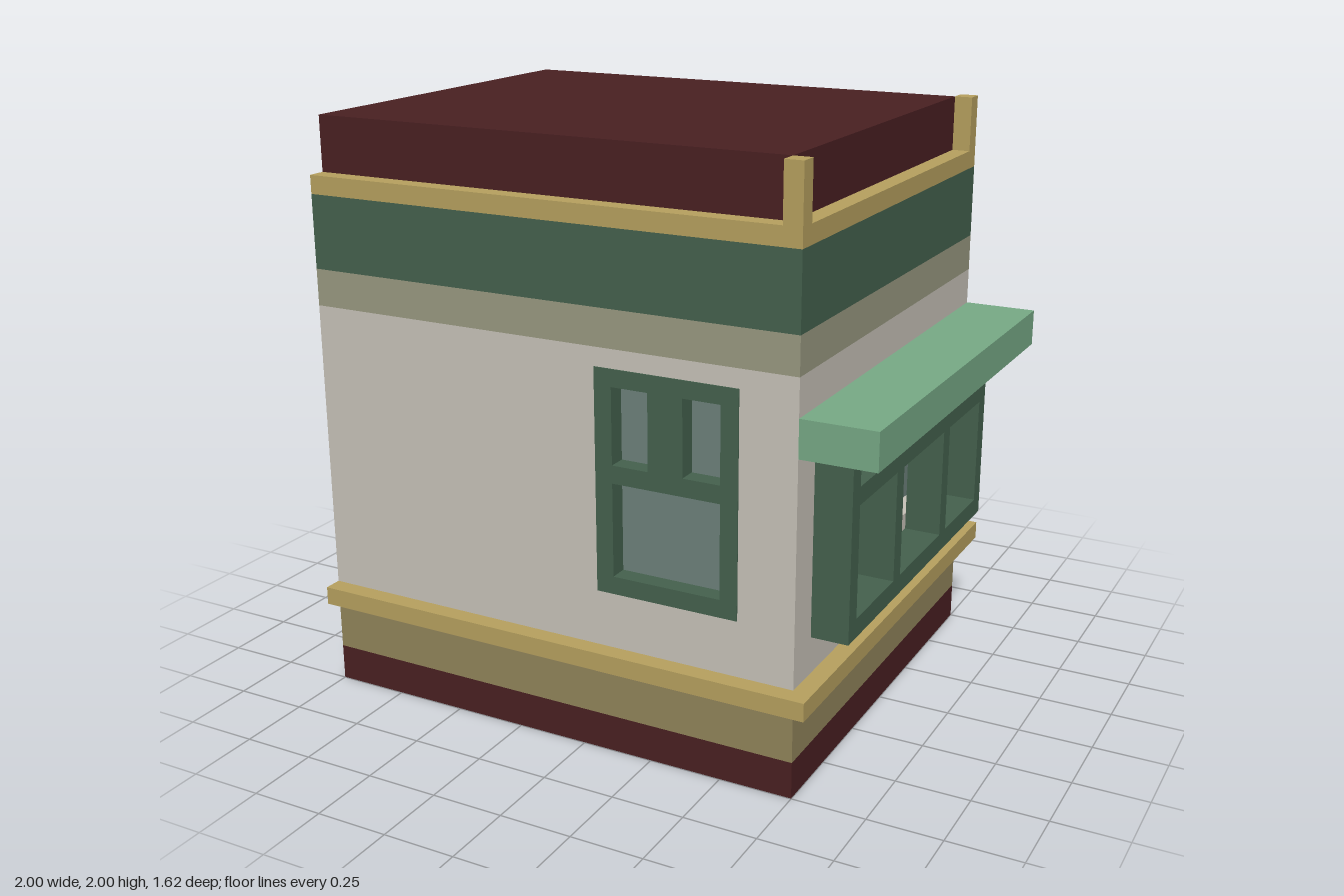
import * as THREE from 'three';

const mat = (name, color) => {
  const m = new THREE.MeshStandardMaterial({ color });
  m.name = name;
  return m;
};

export function createModel() {
  const maroon = mat('maroon', 0x4a2022);
  const tan = mat('tan trim', 0xb8a260);
  const darkTan = mat('dark tan', 0x92855b);
  const cream = mat('cream wall', 0xc9c4ba);
  const olive = mat('olive grey', 0x9a9a82);
  const green = mat('dark green', 0x45624e);
  const mint = mat('mint green', 0x78ab87);
  const glass = mat('glass', 0x6e827c);

  const model = new THREE.Group();
  model.name = 'building';

  // Box given by its lower and upper limits
  const box = (name, m, x0, x1, y0, y1, z0, z1, parent = model) => {
    const mesh = new THREE.Mesh(new THREE.BoxGeometry(x1 - x0, y1 - y0, z1 - z0), m);
    mesh.position.set((x0 + x1) / 2, (y0 + y1) / 2, (z0 + z1) / 2);
    mesh.name = name;
    parent.add(mesh);
  };

  // Upright slab with rectangular holes [u0, u1, v0, v1], from depth d0 to d1
  const rect = (path, [u0, u1, v0, v1]) =>
    path.moveTo(u0, v0).lineTo(u1, v0).lineTo(u1, v1).lineTo(u0, v1).closePath();
  const slab = (name, m, outline, holes, d0, d1, parent) => {
    const shape = rect(new THREE.Shape(), outline);
    holes.forEach(h => shape.holes.push(rect(new THREE.Path(), h)));
    const geo = new THREE.ExtrudeGeometry(shape, { depth: d1 - d0, bevelEnabled: false });
    const mesh = new THREE.Mesh(geo.translate(0, 0, d0), m);
    mesh.name = name;
    parent.add(mesh);
  };

  // One side of the building, turned so that local +z points outwards
  const side = (name, angle) => {
    const g = new THREE.Group();
    g.name = name;
    g.rotation.y = angle;
    model.add(g);
    return g;
  };

  // Storeys, from the ground up
  box('base', maroon, -1, 0.75, 0, 0.125, -0.75, 0.75);
  box('plinth', darkTan, -1, 0.75, 0.125, 0.3125, -0.75, 0.75);
  box('ledge', tan, -1, 0.8125, 0.3125, 0.375, -0.8125, 0.8125);
  box('wallCore', cream, -1, 0.6875, 0.375, 1.375, -0.6875, 0.6875);
  box('lowerBand', olive, -1, 0.75, 1.375, 1.5, -0.75, 0.75);
  box('upperBand', green, -1, 0.75, 1.5, 1.75, -0.75, 0.75);
  box('cornice', tan, -1, 0.75, 1.75, 1.8125, -0.75, 0.75);
  box('roof', maroon, -1, 0.6875, 1.8125, 2, -0.6875, 0.6875);
  for (const s of [-1, 1]) {
    const z = s * 0.71875;
    box('cornerPost', tan, 0.6875, 0.75, 1.8125, 2, z - 0.03125, z + 0.03125);
  }

  // Flat party wall and the strip on the underside
  box('partyWallPanel', green, -1.003, -0.999, 0.125, 1.375, -0.6875, 0.6875);
  box('undersideStrip', green, -0.98, -0.82, -0.001, 0.002, -0.69, 0.69);

  // Wall with one framed window sunk into it
  const windowWall = (name, angle, wall, frame, panes) => {
    const g = side(name, angle);
    slab('wall', cream, wall, [frame], 0.6875, 0.75, g);
    slab('windowFrame', green, frame, panes, 0.6875, 0.754, g);
    panes.forEach(([u0, u1, v0, v1]) => box('windowPane', glass, u0, u1, v0, v1, 0.686, 0.692, g));
  };
  windowWall('frontSide', 0, [-1, 0.6875, 0.375, 1.375], [0.0625, 0.5575, 0.565, 1.3125], [
    [0.123, 0.498, 0.625, 0.94],
    [0.123, 0.25, 1, 1.255],
    [0.37, 0.498, 1, 1.255],
  ]);
  windowWall('backSide', Math.PI, [-0.6875, 1, 0.375, 1.375], [-0.3125, 0.3125, 0.5, 1.25], [
    [-0.25, -0.0625, 0.5625, 1],
    [0.0625, 0.25, 0.5625, 1],
    [-0.25, 0.25, 1.0625, 1.1875],
  ]);

  // Shop side: wall openings, deep frame and awning
  const shop = side('shopSide', Math.PI / 2);
  const lower = [-0.5625, 0.5625, 0.625, 0.88];
  const upper = [-0.5625, 0.5625, 1, 1.12];
  slab('wall', cream, [-0.75, 0.75, 0.375, 1.375], [lower, upper], 0.6875, 0.75, shop);
  for (const [u0, u1, v0, v1] of [lower, upper]) {
    box('shopGlass', glass, u0, u1, v0, v1, 0.686, 0.692, shop);
  }
  slab('shopFrame', green, [-0.625, 0.625, 0.5, 1.125], [
    [-0.565, -0.25, 0.565, 0.94],
    [-0.19, 0.19, 0.565, 0.94],
    [0.25, 0.565, 0.565, 0.94],
    [-0.565, 0.565, 1, 1.12],
  ], 0.75, 0.875, shop);
  for (const u of [-0.5325, 0.5325]) {
    box('transomPost', green, u - 0.0325, u + 0.0325, 1, 1.12, 0.69, 0.8125, shop);
  }
  box('awning', mint, -0.75, 0.75, 1.125, 1.25, 0.75, 1, shop);

  return model;
}
